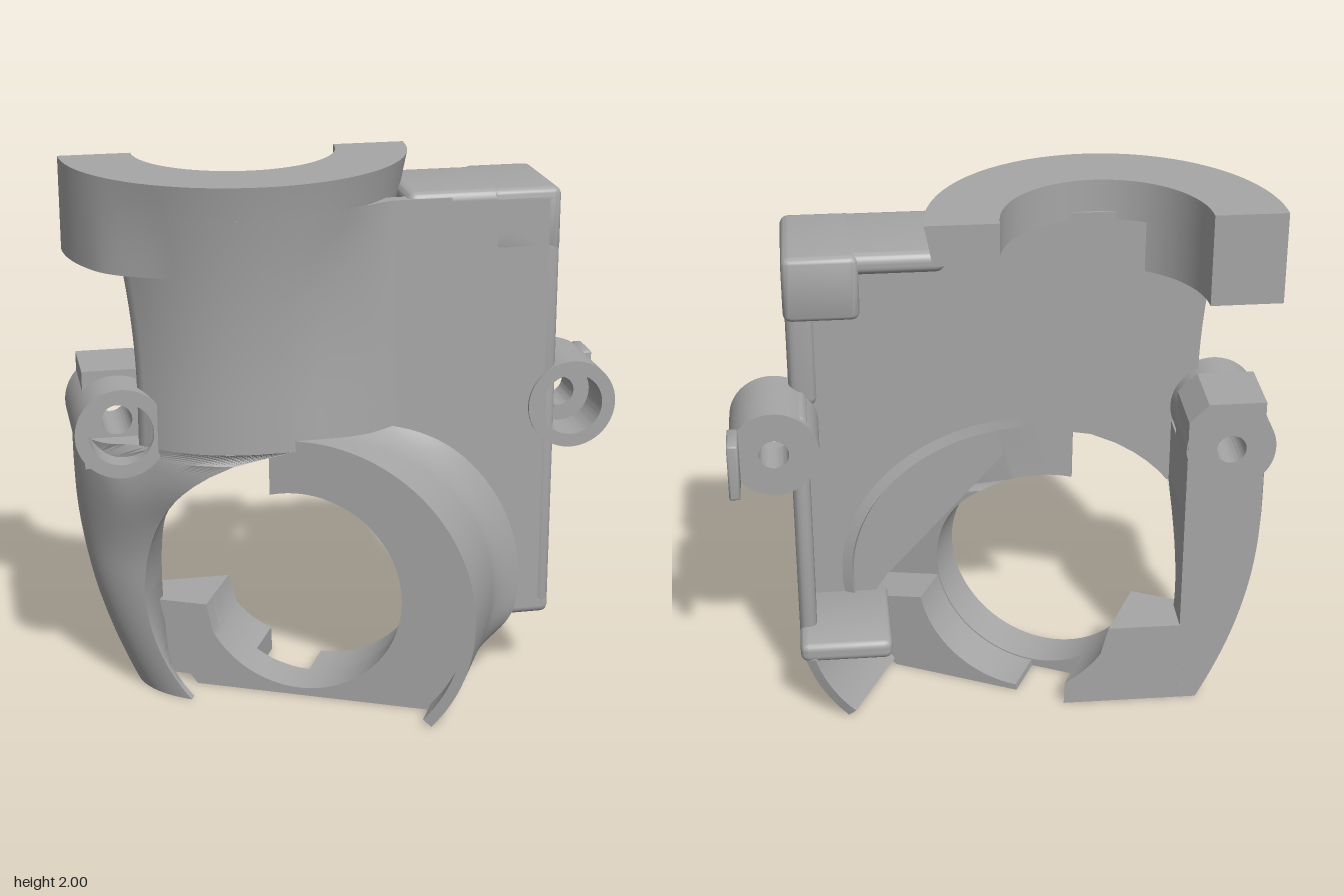
import * as THREE from 'three';
import { toCreasedNormals } from 'three/addons/utils/BufferGeometryUtils.js';
import { RoundedBoxGeometry } from 'three/addons/geometries/RoundedBoxGeometry.js';

const S = 0.436, C = 0.9;                 // the split plane is turned about y
const PX = -0.04, PY = 0.42;              // pipe axis, running along z
const RI = 0.6, RO = 0.64;                // pipe bore and outer radius
const CUT = -0.21, PLATE = 0.15, FRONT = 0.2; // depths measured from the turned plane
const NU = -0.355;                        // neck axis in the turned frame
const NX = -0.41, NZ = -0.034;            // the same axis in the upright frame
const { degToRad: rad, lerp, smoothstep } = THREE.MathUtils;
const planeZ = (x, w) => (w - S * x) / C;
const neckR = y => 0.545 + 0.085 * Math.max(0, (y - 1.2) / 0.8) ** 2;

export function createModel() {
  const grey = new THREE.MeshStandardMaterial({ color: 0xa6a6a6, side: THREE.DoubleSide });
  grey.name = 'plain grey';
  const model = new THREE.Group();
  model.name = 'pipeClampHalf';
  const turned = new THREE.Group();
  turned.name = 'turnedBody';
  turned.rotation.y = Math.atan2(S, C);
  model.add(turned);

  const add = (parent, name, geo, crease = 0.6) => {
    const mesh = new THREE.Mesh(toCreasedNormals(geo, crease), grey);
    mesh.name = name;
    parent.add(mesh);
    return mesh;
  };

  // Closed skin through equal cross-section loops of [a, z]
  const loft = (rows, place) => {
    const n = rows[0].length, pos = [], idx = [];
    rows.forEach((row, i) => row.forEach(([a, z]) => pos.push(...place(a, z, i))));
    for (let i = 0; i < rows.length - 1; i++) {
      for (let j = 0; j < n; j++) {
        const a = i * n + j, b = i * n + (j + 1) % n;
        idx.push(a, b, b + n, a, b + n, a + n);
      }
    }
    const cap = (row, base, flip) => {
      const pts = row.map(([a, z]) => new THREE.Vector2(a, -z));
      for (const [p, q, r] of THREE.ShapeUtils.triangulateShape(pts, [])) {
        idx.push(base + p, base + (flip ? r : q), base + (flip ? q : r));
      }
    };
    cap(rows[0], 0, true);
    cap(rows[rows.length - 1], (rows.length - 1) * n, false);
    const geo = new THREE.BufferGeometry();
    geo.setAttribute('position', new THREE.Float32BufferAttribute(pos, 3));
    geo.setIndex(idx);
    return geo;
  };
  const steps = (a, b, n) => Array.from({ length: n + 1 }, (_, i) => a + (b - a) * i / n);

  // Upright outline extruded between a back rule and a front depth
  const slab = (shape, back, front) => {
    const geo = new THREE.ExtrudeGeometry(shape, { depth: 1, bevelEnabled: false, curveSegments: 40 });
    const p = geo.attributes.position;
    for (let i = 0; i < p.count; i++) {
      const b = back(p.getX(i), p.getY(i));
      p.setZ(i, b + (front - b) * p.getZ(i));
    }
    geo.computeVertexNormals();
    return geo;
  };

  // Neck: half-round front blending into the flat plate, more widely lower down
  const neckYs = steps(1.02, 1.88, 18);
  const neckRows = neckYs.map(y => {
    const R = neckR(y), left = NU - Math.sqrt(R * R - 0.36 ** 2);
    const k = lerp(0.3, 0.1, (y - 1.02) / 0.86);
    const front = steps(left, 0.36, 56).map(u => {
      const w = CUT + Math.sqrt(Math.max(0, R * R - (u - NU) ** 2));
      if (u < NU) return [u, Math.max(w, PLATE + 0.002)];
      const h = Math.max(k - Math.abs(w - FRONT), 0) / k;
      return [u, Math.max(w, FRONT) + h * h * k / 4 * smoothstep(u, NU, NU + 0.25)];
    });
    return [...front, [0.36, PLATE], [left, PLATE]];
  });
  add(turned, 'neck', loft(neckRows, (u, w, i) => [u, neckYs[i], w]), 0.8);

  // Half collar at the top, and its deeper left end
  const collar = (name, a0, a1, y0) => {
    const ys = steps(y0, 2, 5), as = steps(a0, a1, 36);
    const rows = ys.map(y => {
      const outer = as.map(a => {
        const R = lerp(neckR(y), 0.63, smoothstep(a, 2.1, 2.6));
        return [NU + R * Math.cos(a), CUT + R * Math.sin(a)];
      });
      const inner = [...as].reverse().map(a => [NU + 0.37 * Math.cos(a), CUT + 0.37 * Math.sin(a)]);
      return [...outer, ...inner];
    });
    add(turned, name, loft(rows, (u, w, i) => [u, ys[i], w]));
  };
  collar('collar', Math.PI, 0, 1.85);
  collar('collarLeftEnd', Math.PI, 2.1, 1.66);

  // Flat front plate, its lower left edge cut slantwise behind the flange
  const plate = new THREE.Shape();
  plate.moveTo(0.72, 0.28);
  [[0.72, 1.86], [-0.3, 1.86], [-0.3, 1.03], [-0.11, 1.02], [0, 0.87], [0.42, 0.4], [0.5, 0.28]]
    .forEach(([u, y]) => plate.lineTo(u, y));
  add(turned, 'frontPlate', slab(plate, () => PLATE, FRONT));

  // Box walls: [name, u0, u1, y0, y1, w0, w1, edge radius]
  [
    ['topWall', 0.2, 0.765, 1.82, 1.9, CUT, FRONT, 0.035],
    ['topCorner', 0.5, 0.765, 1.66, 1.9, CUT - 0.015, FRONT, 0.03],
    ['sideRim', 0.66, 0.765, 1.15, 1.88, 0.13, FRONT, 0.034],
    ['sideWall', 0.7, 0.765, 0.25, 1.22, -0.09, FRONT, 0.032],
    ['floorWall', 0.42, 0.765, 0.25, 0.33, CUT - 0.01, FRONT, 0.03],
    ['rightLugFin', 0.95, 0.99, 0.97, 1.19, -0.22, -0.08, 0.008],
  ].forEach(([name, u0, u1, y0, y1, w0, w1, r]) => {
    const mesh = add(turned, name, new RoundedBoxGeometry(u1 - u0, y1 - y0, w1 - w0, 3, r));
    mesh.position.set((u0 + u1) / 2, (y0 + y1) / 2, (w0 + w1) / 2);
  });

  // Screw lugs: wide counterbore in front, small hole behind
  const disc = (u, r, hole) => {
    const s = new THREE.Shape().absarc(u, 1.085, r, 0, Math.PI * 2);
    s.holes.push(new THREE.Path().absarc(u, 1.085, hole, 0, Math.PI * 2, true));
    return s;
  };
  for (const [side, u, end] of [['left', -0.83, CUT], ['right', 0.825, -0.1]]) {
    add(turned, side + 'LugFront', slab(disc(u, 0.165, 0.115), () => 0.05, 0.21));
    add(turned, side + 'LugBack', slab(disc(u, 0.165, 0.055), () => end, 0.05));
  }
  const block = new THREE.Shape();
  block.moveTo(-0.95, 0.9);
  block.lineTo(-0.67, 0.9);
  block.lineTo(-0.67, 1.2);
  block.lineTo(-0.74, 1.27);
  block.lineTo(-0.95, 1.27);
  block.holes.push(new THREE.Path().absarc(-0.83, 1.085, 0.055, 0, Math.PI * 2, true));
  add(turned, 'leftLugBlock', slab(block, () => CUT - 0.003, 0.04));

  // Left column between its rounded outside and the pipe bore, easing into the neck
  const colYs = steps(0, 1.02, 24);
  const colRows = colYs.map(y => {
    const xo = -0.95 + 0.19 * Math.max(0, 1 - y / 0.8) ** 2;
    const xr = PX - Math.sqrt(Math.max(0, RI * RI - (y - PY) ** 2));
    const zo = planeZ(xo, CUT);
    const top = 0.41 + 0.09 * smoothstep(y, 0.5, 1);
    const front = steps(xo, xr, 28).map(x => {
      const s = Math.min(1, (x - xo) / 0.35);
      const z = zo + (top - zo) * (1 - (1 - s) ** 2.2) ** (1 / 2.2);
      const neckZ = NZ + Math.sqrt(Math.max(0, neckR(y) ** 2 - (x - NX) ** 2));
      return [x, lerp(z, neckZ, smoothstep(y, 0.7, 1) * smoothstep(x, -0.75, -0.58))];
    });
    const zEnd = front[front.length - 1][1] - 0.03;
    const xw = Math.min(xr - 0.001, -0.538);
    const wallZ = 0.103 + (xw + 0.695) / 0.157 * 0.324;
    const zr = xr > -0.538 ? planeZ(xr, PLATE) : wallZ + 0.002;
    return [...front, [xr, Math.min(zr, zEnd)], [xw, Math.min(wallZ, top - 0.031)], [-0.695, 0.103]];
  });
  add(model, 'leftColumn', loft(colRows, (x, z, i) => [x, colYs[i], z]), 0.8);

  // Pipe shell with a fillet where it meets the box; its lower end runs back to the cut
  const angles = steps(rad(-41), rad(112), 52);
  const shellRows = angles.map(a => {
    const x = PX + RO * Math.cos(a), y = PY + RO * Math.sin(a);
    const zBox = planeZ(x, FRONT);
    const zBack = planeZ(x, a < rad(-14) ? CUT : PLATE);
    const flare = 0.07 * smoothstep(y, 0.1, 0.32) * (1 - smoothstep(a, rad(45), rad(95)));
    const start = Math.min(0.39, zBox + 0.15);
    const outer = steps(start, zBox, 7).map((z, i) => [RO + flare * (i / 7) ** 2, z]);
    return [[RI, 0.4], [RO, 0.4], ...outer, [RO, zBack], [RI, zBack]];
  });
  add(model, 'pipeShell', loft(shellRows, (r, z, i) =>
    [PX + r * Math.cos(angles[i]), PY + r * Math.sin(angles[i]), z]));

  // Inner flange ring, open at the upper left and trimmed flush with the plate's back
  const flange = new THREE.Shape();
  flange.absarc(PX, PY, 0.615, rad(105), rad(-43), true);
  flange.lineTo(-0.49, 0);
  flange.lineTo(-0.65, 0.2);
  flange.lineTo(-0.65, 0.33);
  flange.lineTo(-0.45, 0.33);
  flange.absarc(-0.09, PY, 0.39, rad(211), rad(466), false);
  const flangeBack = (x, y) => y > 0.45 ? Math.min(0.265, Math.max(0.11, planeZ(x, PLATE))) : 0.11;
  add(model, 'innerFlange', slab(flange, flangeBack, 0.27));

  // Thick lower right seat behind the flange
  const seat = new THREE.Shape();
  seat.moveTo(-0.1, 0);
  seat.lineTo(0.4, 0);
  seat.absarc(PX, PY, 0.615, rad(-43), rad(-12), false);
  seat.absarc(-0.09, PY, 0.395, rad(-12), rad(-91), true);
  add(model, 'lowerSeat', slab(seat, () => -0.07, 0.12));

  // Lower left foot reaching back to the cut
  const foot = new THREE.Shape();
  foot.moveTo(-0.74, 0);
  foot.lineTo(-0.3, 0);
  foot.absarc(-0.09, PY, 0.39, rad(237), rad(211), true);
  foot.lineTo(-0.45, 0.33);
  foot.lineTo(-0.74, 0.33);
  add(model, 'lowerLeftFoot', slab(foot, x => planeZ(x, CUT), 0.2));

  return model;
}
